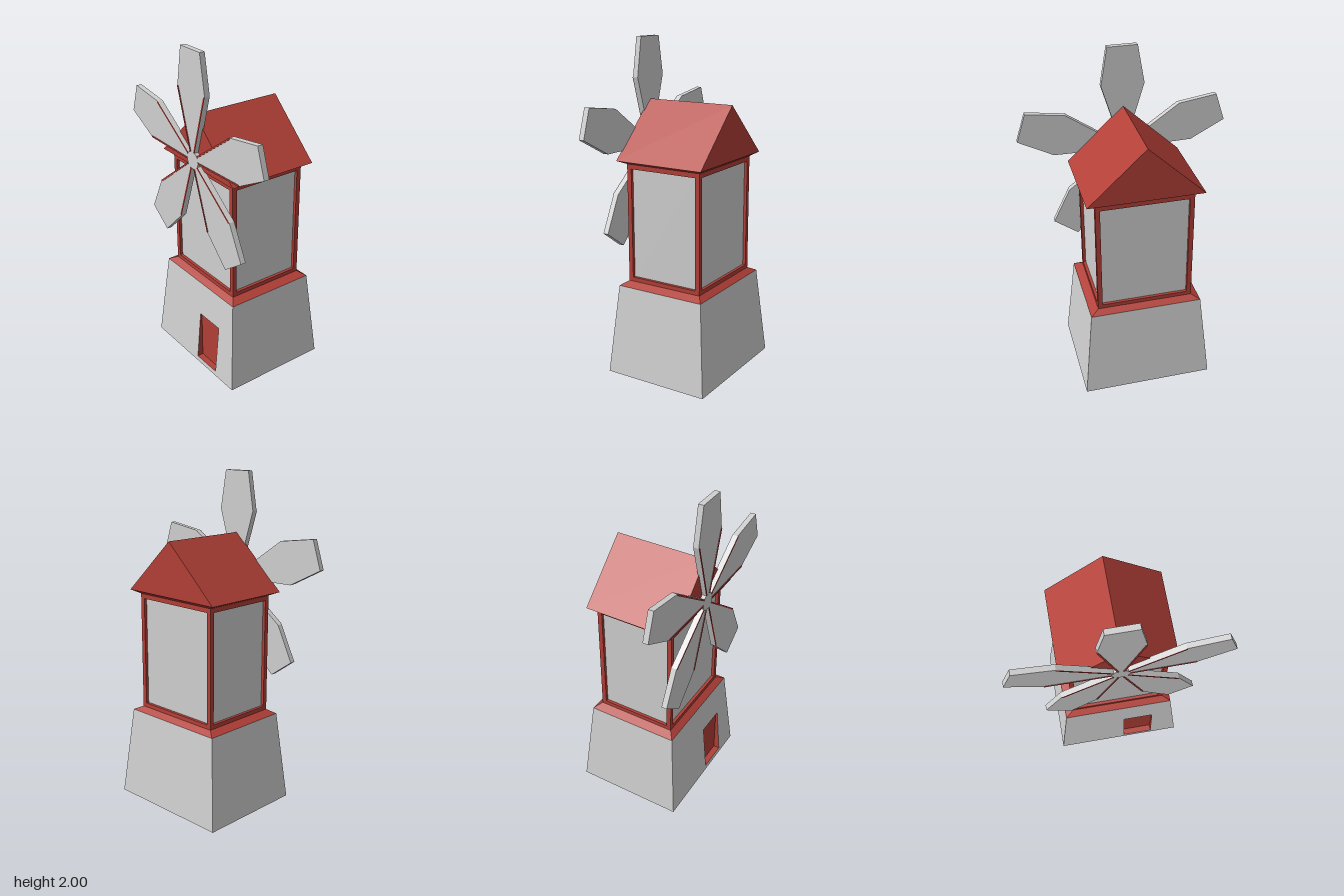
import * as THREE from 'three';

const grey = new THREE.MeshStandardMaterial({ color: 0xd0d0d0 });
grey.name = 'paleGrey';
const red = new THREE.MeshStandardMaterial({ color: 0xb23f37 });
red.name = 'barnRed';

function mesh(name, geometry, material, parent) {
  const m = new THREE.Mesh(geometry, material);
  m.name = name;
  parent.add(m);
  return m;
}

function box(name, size, pos, material, parent) {
  const m = mesh(name, new THREE.BoxGeometry(...size), material, parent);
  m.position.set(...pos);
  return m;
}

// Flat-shaded geometry from four-cornered faces (counter-clockwise from outside)
function quads(list) {
  const pos = [];
  for (const [a, b, c, d] of list) pos.push(...a, ...b, ...c, ...a, ...c, ...d);
  const g = new THREE.BufferGeometry();
  g.setAttribute('position', new THREE.Float32BufferAttribute(pos, 3));
  g.computeVertexNormals();
  return g;
}

const ring = (hx, hz, y) => [[-hx, y, hz], [hx, y, hz], [hx, y, -hz], [-hx, y, -hz]];

// Sloping walls between two rectangles; side 3 is the -x wall
function walls(low, high, sides = [0, 1, 2, 3]) {
  const a = ring(...low), b = ring(...high);
  return quads(sides.map(i => [a[i], a[(i + 1) % 4], b[(i + 1) % 4], b[i]]));
}

// Turns a drawing in (z, y) so that its front faces -x
const faceLeft = g => g.rotateY(-Math.PI / 2);

const polygon = pts => new THREE.Shape(pts.map(p => new THREE.Vector2(...p)));

function addBase(parent) {
  const low = [0.333, 0.397, 0], high = [0.283, 0.34, 0.55];
  const slopeX = y => -(low[0] + (high[0] - low[0]) * y / high[2]);
  mesh('baseWalls', walls(low, high, [0, 1, 2]), grey, parent);
  mesh('baseUnderside', quads([ring(...low).reverse()]), red, parent);

  // Left wall with a doorway cut through
  const z0 = 0.035, z1 = 0.225, y0 = 0.03, y1 = 0.34, xi = -0.292;
  const shape = polygon([[-low[1], 0], [low[1], 0], [high[1], 0.55], [-high[1], 0.55]]);
  shape.holes.push(new THREE.Path([[z0, y0], [z0, y1], [z1, y1], [z1, y0]].map(p => new THREE.Vector2(...p))));
  const wall = faceLeft(new THREE.ShapeGeometry(shape));
  const p = wall.attributes.position;
  for (let i = 0; i < p.count; i++) p.setX(i, slopeX(p.getY(i)));
  wall.computeVertexNormals();
  mesh('doorWall', wall, grey, parent);

  // Recessed door and its reveals
  const edge = [[z0, y0], [z1, y0], [z1, y1], [z0, y1]];
  const outer = edge.map(([z, y]) => [slopeX(y), y, z]);
  const inner = edge.map(([z, y]) => [xi, y, z]);
  const faces = [inner];
  for (let i = 0; i < 4; i++) {
    const j = (i + 1) % 4;
    faces.push([outer[i], outer[j], inner[j], inner[i]]);
  }
  mesh('door', quads(faces), red, parent);

  // Red ledge between base and tower
  mesh('ledge', walls(high, [0.245, 0.29, 0.575]), red, parent);
}

function addTower(parent) {
  const hx = 0.245, hz = 0.29, w = 0.028, inset = 0.018;
  box('towerPanels', [2 * (hx - inset), 0.74, 2 * (hz - inset)], [0, 0.93, 0], grey, parent);
  for (const sx of [-1, 1]) for (const sz of [-1, 1]) {
    box('cornerPost', [w, 0.74, w], [sx * (hx - w / 2), 0.93, sz * (hz - w / 2)], red, parent);
  }
  for (const [y, h] of [[0.583, 0.034], [1.28, 0.04]]) {
    for (const s of [-1, 1]) {
      box('rail', [2 * (hx - w), h, w], [0, y, s * (hz - w / 2)], red, parent);
      box('rail', [w, h, 2 * (hz - w)], [s * (hx - w / 2), y, 0], red, parent);
    }
  }
}

function addRoof(parent) {
  const hx = 0.283, hz = 0.343;
  mesh('eaves', walls([0.245, 0.29, 1.288], [hx, hz, 1.31]), red, parent);
  const gable = polygon([[-hz, 1.31], [hz, 1.31], [0, 1.632]]);
  const g = new THREE.ExtrudeGeometry(gable, { depth: 2 * hx, bevelEnabled: false });
  mesh('roof', faceLeft(g.translate(0, 0, -hx)), red, parent);
}

function addSails(parent) {
  const sails = new THREE.Group();
  sails.name = 'sails';
  sails.position.set(-0.275, 1.362, 0);
  parent.add(sails);
  const depth = 0.033, count = 5;
  const rootR = 0.05, rootW = 0.022, midR = 0.405, midW = 0.13;
  const outline = polygon([[-rootW, rootR], [rootW, rootR], [midW, midR], [0.09, 0.638], [-0.09, 0.638], [-midW, midR]]);
  const blade = faceLeft(new THREE.ExtrudeGeometry(outline, { depth, bevelEnabled: false }));

  // Thin trim along the tapering edges
  const trims = [-1, 1].map(s => {
    const pts = [[s * rootW, rootR], [s * midW, midR], [s * (midW - 0.01), midR], [s * (rootW - 0.01), rootR]];
    return faceLeft(new THREE.ExtrudeGeometry(polygon(pts), { depth: 0.003, bevelEnabled: false }).translate(0, 0, depth));
  });

  for (let i = 0; i < count; i++) {
    const sail = new THREE.Group();
    sail.name = 'sail';
    sail.rotation.x = i * 2 * Math.PI / count;
    mesh('blade', blade, grey, sail);
    trims.forEach(t => mesh('bladeTrim', t, red, sail));
    sails.add(sail);
  }

  // Hub
  const hub = mesh('hub', new THREE.CylinderGeometry(0.055, 0.055, depth, 10), grey, sails);
  hub.rotation.z = Math.PI / 2;
  hub.position.x = -depth / 2;
}

export function createModel() {
  const root = new THREE.Group();
  root.name = 'windmill';
  const mill = new THREE.Group();
  mill.name = 'mill';
  mill.rotation.y = -0.049;
  mill.position.set(-0.002, 0, 0.016);
  root.add(mill);
  addBase(mill);
  addTower(mill);
  addRoof(mill);
  addSails(mill);
  return root;
}
